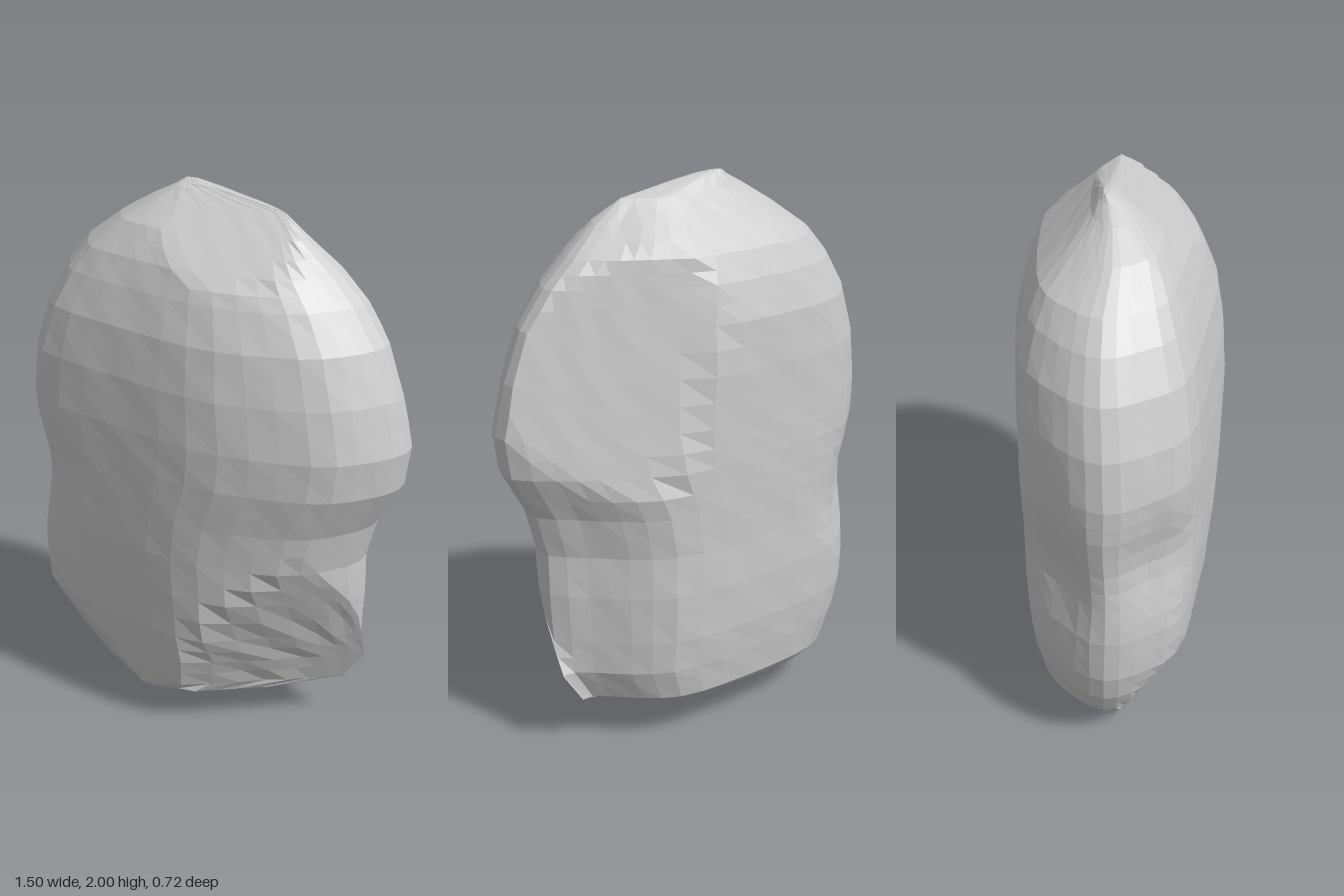
import * as THREE from 'three';

// Height rows: y, x min, x max, z min, z max
const ROWS = [
  [0, -0.45, -0.44, -0.02, 0],
  [0.05, -0.53, -0.24, -0.07, 0.08],
  [0.1, -0.56, 0.1, -0.2, 0.23],
  [0.18, -0.63, 0.5, -0.3, 0.27],
  [0.3, -0.69, 0.58, -0.32, 0.3],
  [0.42, -0.72, 0.59, -0.335, 0.325],
  [0.6, -0.735, 0.6, -0.345, 0.34],
  [0.75, -0.74, 0.6, -0.345, 0.35],
  [0.9, -0.745, 0.64, -0.35, 0.355],
  [1.06, -0.755, 0.73, -0.355, 0.36],
  [1.2, -0.755, 0.75, -0.355, 0.36],
  [1.38, -0.73, 0.71, -0.355, 0.35],
  [1.55, -0.67, 0.65, -0.35, 0.325],
  [1.68, -0.59, 0.56, -0.315, 0.28],
  [1.77, -0.51, 0.47, -0.275, 0.24],
  [1.87, -0.37, 0.355, -0.17, 0.17],
  [1.94, -0.25, 0.26, -0.1, 0.08],
  [1.98, -0.17, 0.04, -0.07, 0.02],
  [2, -0.14, -0.08, -0.05, -0.03],
];

// Horizontal outline on a unit square, clockwise seen from above
const OUTLINE = [
  [-1, 0], [-0.87, -0.48], [-0.63, -0.84], [0, -1], [0.45, -0.97], [0.63, -0.79], [0.83, -0.46],
  [0.985, -0.2], [1, 0], [0.93, 0.3], [0.78, 0.64], [0.58, 0.82], [0.23, 0.99], [-0.27, 0.91],
  [-0.76, 0.75], [-0.88, 0.5],
];

// Flat chips: surface beyond the plane is set back in depth onto it (normal, distance)
const CHIPS = [
  [0.58, -0.368, 0.727, 0.145],  // lower front, left side
  [-0.4, -0.5, 0.77, 0.195],     // lower front, right side
  [0.456, 0.17, -0.89, 0.607],   // upper back, left side
  [0.15, 0.753, 0.641, 1.485],   // top front
];

// Shallow dents: centre, radius, push
const DENTS = [
  { at: [-0.66, 0.9, 0.2], r: 0.2, push: [0.04, 0, -0.03] },
  { at: [-0.65, 0.8, -0.22], r: 0.19, push: [0.04, 0, 0.03] },
];

const SEGMENTS = 40;

function shapePoint(p) {
  for (const [x, y, z, d] of CHIPS) {
    const over = p.x * x + p.y * y + p.z * z - d;
    if (over > 0) p.z -= over / z;
  }
  for (const { at, r, push } of DENTS) {
    const k = Math.exp(-((p.distanceTo(new THREE.Vector3(...at)) / r) ** 2));
    p.addScaledVector(new THREE.Vector3(...push), k);
  }
  return p;
}

function stoneGeometry() {
  const curve = new THREE.CatmullRomCurve3(
    OUTLINE.map(([u, w]) => new THREE.Vector3(u, 0, w)), true, 'centripetal');
  const ring = curve.getSpacedPoints(SEGMENTS).slice(0, SEGMENTS);

  // One extra row halfway between neighbours
  const rows = [];
  ROWS.forEach((row, i) => {
    rows.push(row);
    const next = ROWS[i + 1];
    if (next) rows.push(row.map((v, k) => (v + next[k]) / 2));
  });

  const positions = [], index = [];
  rows.forEach(([y, x0, x1, z0, z1], i) => {
    ring.forEach((q, j) => {
      const p = shapePoint(new THREE.Vector3(
        (x0 + x1) / 2 + q.x * (x1 - x0) / 2, y, (z0 + z1) / 2 + q.z * (z1 - z0) / 2));
      // The broken lower front corner is rougher
      const rough = p.x > 0.15 && p.z > 0 && y > 0.15 && y < 0.6 ? 0.007 : 0.001;
      p.z += rough * Math.sin(i * 1.7 - j * 2.6);
      positions.push(p.x, p.y, p.z);
    });
  });
  const at = (i, j) => i * SEGMENTS + (j % SEGMENTS);
  for (let i = 0; i < rows.length - 1; i++) {
    for (let j = 0; j < SEGMENTS; j++) {
      const a = at(i, j), b = at(i, j + 1), c = at(i + 1, j + 1), d = at(i + 1, j);
      index.push(a, c, b, a, d, c);
    }
  }
  // End caps
  const top = rows.length - 1;
  for (let j = 1; j < SEGMENTS - 1; j++) {
    index.push(at(0, 0), at(0, j), at(0, j + 1));
    index.push(at(top, 0), at(top, j + 1), at(top, j));
  }

  const geometry = new THREE.BufferGeometry();
  geometry.setAttribute('position', new THREE.Float32BufferAttribute(positions, 3));
  geometry.setIndex(index);
  geometry.computeVertexNormals();
  return geometry;
}

export function createModel() {
  const group = new THREE.Group();
  group.name = 'rock';
  const stone = new THREE.Mesh(
    stoneGeometry(),
    new THREE.MeshStandardMaterial({ color: 0xcccccc, flatShading: true }));
  stone.name = 'stone';
  group.add(stone);
  return group;
}
